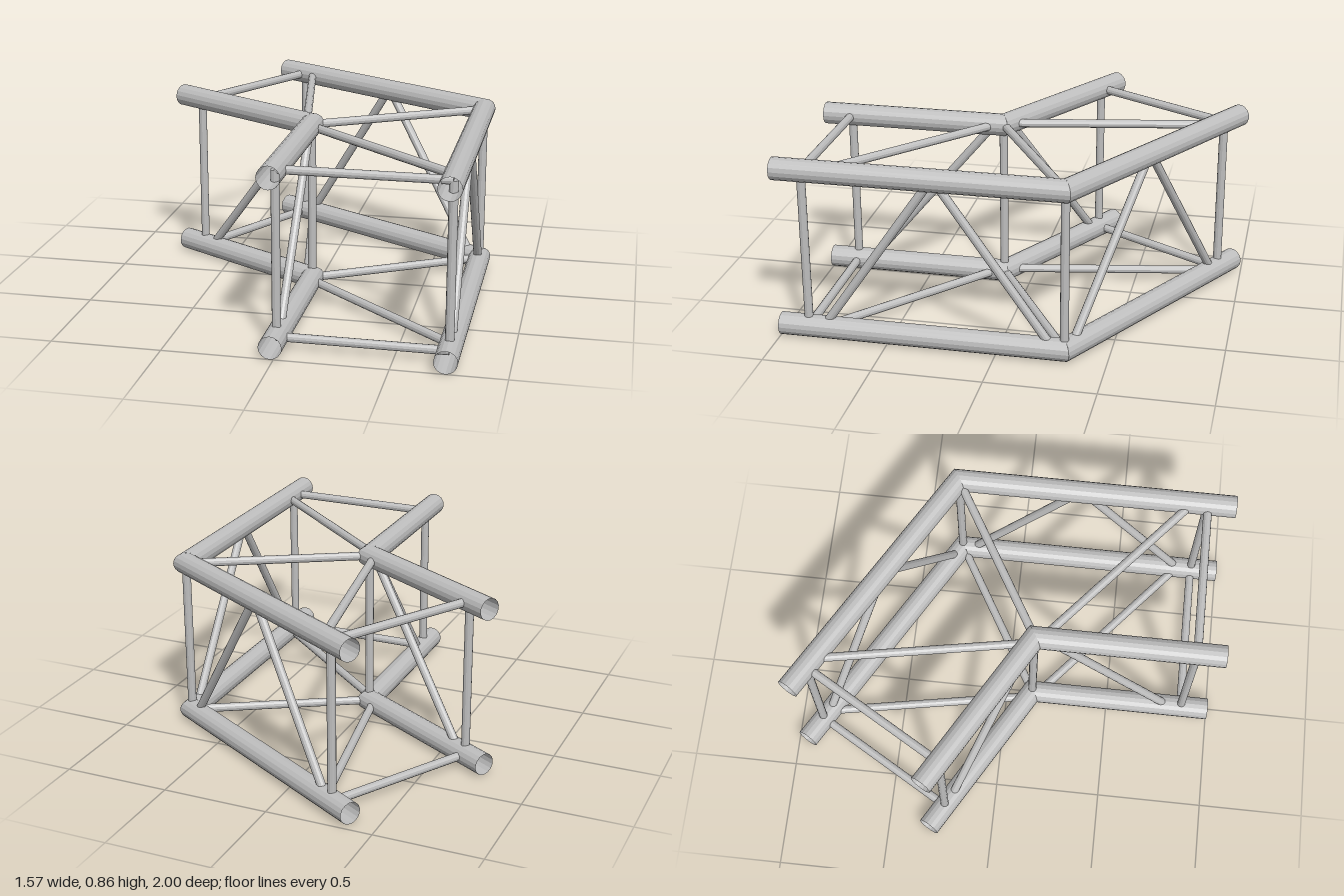
import * as THREE from 'three';

const R = 0.052, r = 0.02;            // main tube and brace radii
const LOW = 0.052, HIGH = 0.808;      // heights of the lower and upper tubes
const S = Math.sin(Math.PI / 6), C = Math.cos(Math.PI / 6);
const UP = new THREE.Vector3(0, 1, 0);
// Normal of the vertical plane in which the two halves of the bend meet
const MITRE = new THREE.Vector3(C, 0, 1 + S).normalize();

// The two bent sides in plan: corner position, front length and arm length
const inner = { name: 'inner', x: -0.016, z: 0.126, front: 0.874, arm: 0.859 };
const outer = { name: 'outer', x: 0.736, z: -0.309, front: 1.309, arm: 1.289 };

// Point at distance t from the corner, along the front half or the angled arm
function at(side, half, t, y) {
  return half === 'front'
    ? new THREE.Vector3(side.x, y, side.z + t)
    : new THREE.Vector3(side.x - C * t, y, side.z - S * t);
}

export function createModel() {
  const group = new THREE.Group();
  const metal = new THREE.MeshStandardMaterial({ color: 0xbebebe });
  metal.name = 'aluminium grey';
  metal.flatShading = true;
  metal.side = THREE.DoubleSide;

  function tube(name, a, b, radius, sides, open) {
    const dir = b.clone().sub(a);
    const geo = new THREE.CylinderGeometry(radius, radius, dir.length(), sides, 1, open);
    geo.applyQuaternion(new THREE.Quaternion().setFromUnitVectors(UP, dir.clone().normalize()));
    const mid = a.clone().add(b).multiplyScalar(0.5);
    geo.translate(mid.x, mid.y, mid.z);
    const mesh = new THREE.Mesh(geo, metal);
    mesh.name = name;
    group.add(mesh);
    return mesh;
  }
  const brace = (name, a, b) => tube(name, a, b, r, 12, false);

  // Open main tube, its corner end cut along the mitre plane
  function chord(name, corner, end) {
    const geo = tube(name, corner, end, R, 16, true).geometry;
    const d = end.clone().sub(corner).normalize();
    const pos = geo.attributes.position, p = new THREE.Vector3();
    for (let i = 0; i < pos.count; i++) {
      p.fromBufferAttribute(pos, i).sub(corner);
      if (p.dot(d) > 0.1) continue;
      p.addScaledVector(d, -p.dot(MITRE) / d.dot(MITRE)).add(corner);
      pos.setXYZ(i, p.x, p.y, p.z);
    }
    geo.computeVertexNormals();
  }

  for (const half of ['front', 'arm']) {
    const endGap = 0.132;
    for (const y of [LOW, HIGH]) {
      const level = y === LOW ? 'Lower' : 'Upper';
      for (const s of [inner, outer])
        chord(`${half}${level}${s.name}Tube`, at(s, half, 0, y), at(s, half, s[half], y));
      // Cross bar near the open end and diagonal across the flat face
      brace(`${half}${level}CrossBar`, at(inner, half, inner[half] - endGap, y),
        at(outer, half, outer[half] - endGap, y));
      brace(`${half}${level}Diagonal`, at(inner, half, 0.033, y), at(outer, half, 1.107, y));
    }
    // Uprights near the open end
    for (const s of [inner, outer])
      brace(`${half}${s.name}Upright`, at(s, half, s[half] - endGap, LOW), at(s, half, s[half] - endGap, HIGH));
    // Sloping braces in the side walls
    brace(`${half}InnerSlope`, at(inner, half, 0.68, LOW), at(inner, half, 0.045, HIGH));
    brace(`${half}OuterEndSlope`, at(outer, half, 1.11, LOW), at(outer, half, 0.59, HIGH));
    brace(`${half}OuterCornerSlope`, at(outer, half, 0.05, LOW), at(outer, half, 0.578, HIGH));
  }

  // Frame at the bend: two uprights and two cross bars
  for (const s of [inner, outer])
    brace(`${s.name}CornerUpright`, at(s, 'front', 0, LOW), at(s, 'front', 0, HIGH));
  for (const y of [LOW, HIGH])
    brace('cornerCrossBar', at(inner, 'front', 0, y), at(outer, 'front', 0, y));

  return group;
}
